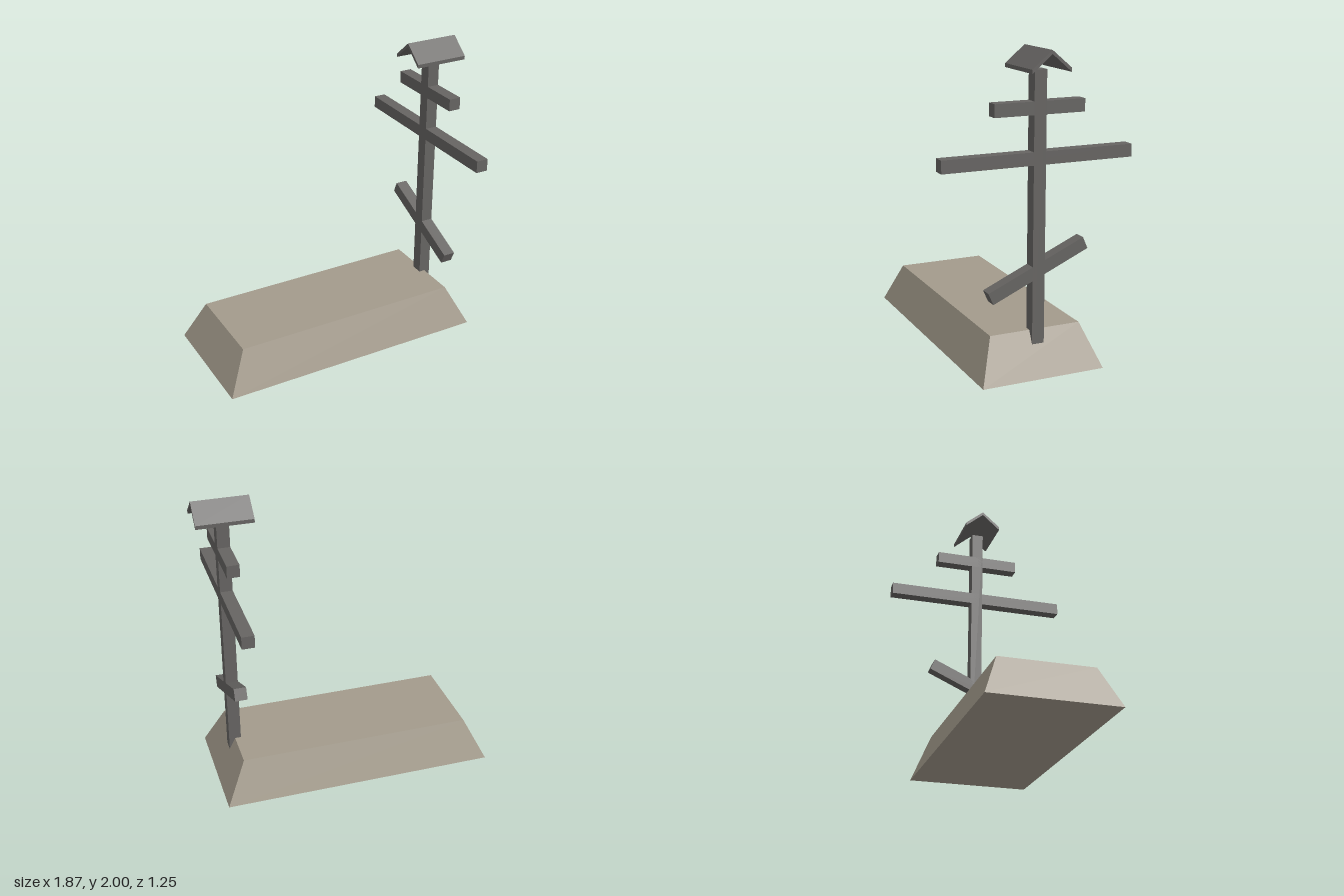
import * as THREE from 'three';

const WOOD = new THREE.MeshStandardMaterial({ color: 0x666462, flatShading: true });
const EARTH = new THREE.MeshStandardMaterial({ color: 0xa39b8c, flatShading: true });
const POST_X = 0.75;
const BEAM = 0.08;

function addMesh(parent, name, geometry, material) {
  const mesh = new THREE.Mesh(geometry, material);
  mesh.name = name;
  parent.add(mesh);
  return mesh;
}

// Box with its top face pulled in to form sloping sides
function createMound() {
  const geometry = new THREE.BoxGeometry(1, 1, 1);
  const p = geometry.attributes.position;
  for (let i = 0; i < p.count; i++) {
    const top = p.getY(i) > 0;
    const x = p.getX(i) > 0 ? (top ? 0.75 : 0.885) : (top ? -0.8 : -0.935);
    const z = Math.sign(p.getZ(i)) * (top ? 0.303 : 0.408);
    p.setXYZ(i, x, top ? 0.275 : 0, z);
  }
  geometry.computeVertexNormals();
  return geometry;
}

// Thin gable section with plumb-cut eaves, extruded along x
function createRoof() {
  const section = new THREE.Shape([
    [-0.126, 1.87], [0, 1.977], [0.126, 1.87],
    [0.126, 1.894], [0, 2], [-0.126, 1.894],
  ].map(([z, y]) => new THREE.Vector2(z, y)));
  const length = 0.36;
  return new THREE.ExtrudeGeometry(section, { depth: length, bevelEnabled: false })
    .translate(0, 0, -length / 2)
    .rotateY(Math.PI / 2);
}

export function createModel() {
  const model = new THREE.Group();
  model.name = 'graveWithCross';
  addMesh(model, 'mound', createMound(), EARTH);

  const cross = new THREE.Group();
  cross.name = 'cross';
  cross.position.x = POST_X;
  model.add(cross);

  // Upright, sunk into the mound
  const bottom = 0.005, top = 1.875;
  addMesh(cross, 'post', new THREE.BoxGeometry(BEAM, top - bottom, BEAM), WOOD)
    .position.y = (top + bottom) / 2;

  // Crossbars: name, height, length, tilt
  const bars = [
    ['upperBar', 1.65, 0.59, 0],
    ['mainBar', 1.35, 1.25, 0],
    ['slantedFootBar', 0.66, 0.69, 0.415],
  ];
  for (const [name, y, length, tilt] of bars) {
    const bar = addMesh(cross, name, new THREE.BoxGeometry(BEAM, BEAM, length), WOOD);
    bar.position.y = y;
    bar.rotation.x = tilt;
  }

  addMesh(cross, 'roof', createRoof(), WOOD);
  return model;
}
